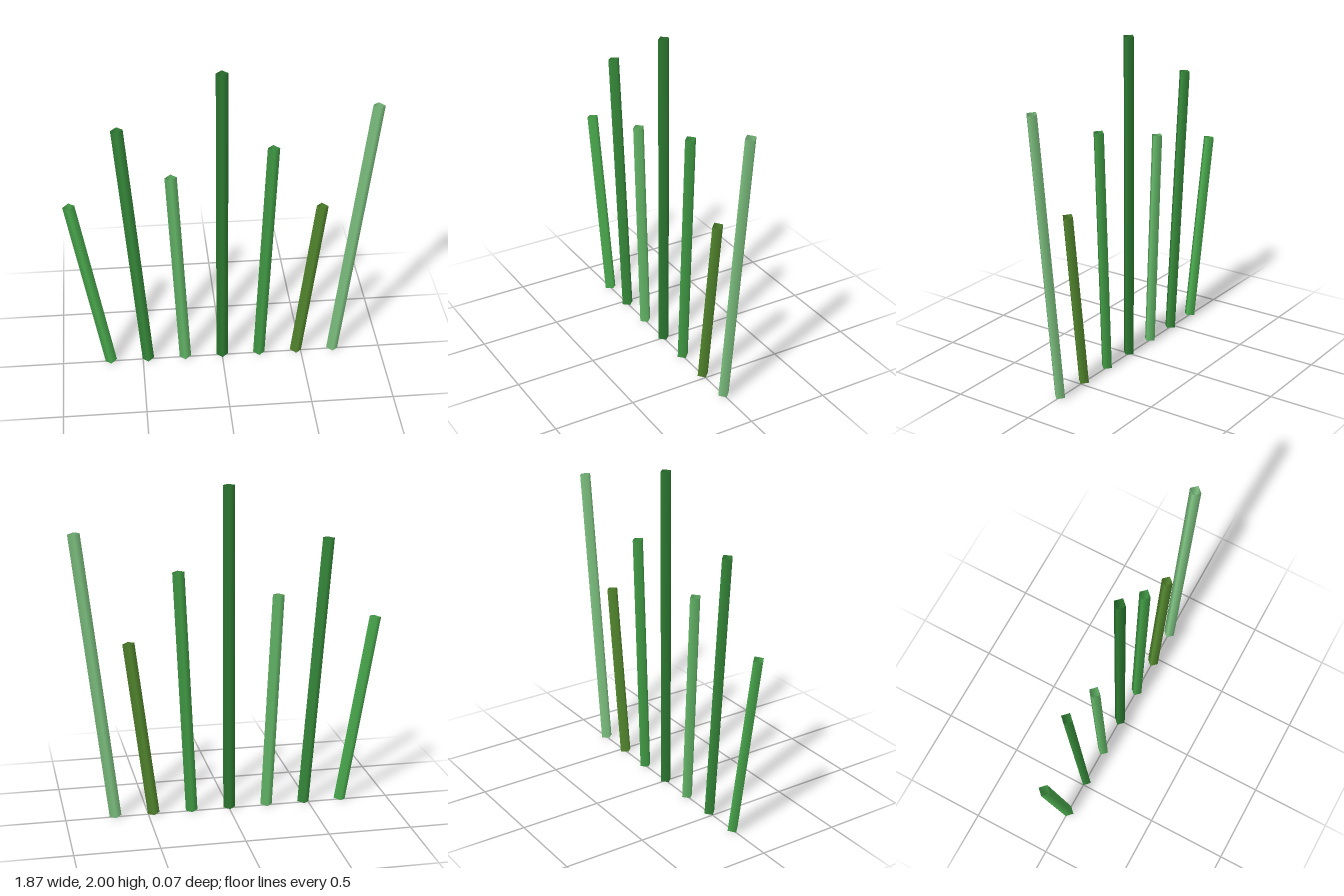
import * as THREE from 'three';

// Fan of slim four-sided open stalks: base x, tip x, tip y, colour
const STALKS = [
  [-0.7, -0.9, 1.17, 0x4caf50],
  [-0.467, -0.6, 1.667, 0x388e3c],
  [-0.233, -0.3, 1.335, 0x66bb6a],
  [0, 0, 2, 0x2e7d32],
  [0.233, 0.3, 1.501, 0x43a047],
  [0.467, 0.6, 1.086, 0x558b2f],
  [0.7, 0.9, 1.752, 0x81c784],
];
const RADIUS = 0.036;
const BASE_Y = 0.006;

// Open tube with smooth normals running from one point to another
function stalk(from, to, color) {
  const dir = to.clone().sub(from);
  const geometry = new THREE.CylinderGeometry(RADIUS, RADIUS, dir.length(), 4, 8, true);
  const material = new THREE.MeshStandardMaterial({ color, side: THREE.DoubleSide });
  const mesh = new THREE.Mesh(geometry, material);
  mesh.position.copy(from).add(to).multiplyScalar(0.5);
  mesh.rotation.z = -Math.atan2(dir.x, dir.y);
  return mesh;
}

export function createModel() {
  const group = new THREE.Group();
  group.name = 'stalks';
  STALKS.forEach(([baseX, tipX, tipY, color], i) => {
    const mesh = stalk(new THREE.Vector3(baseX, BASE_Y, 0), new THREE.Vector3(tipX, tipY, 0), color);
    mesh.name = `stalk${i + 1}`;
    group.add(mesh);
  });
  return group;
}
